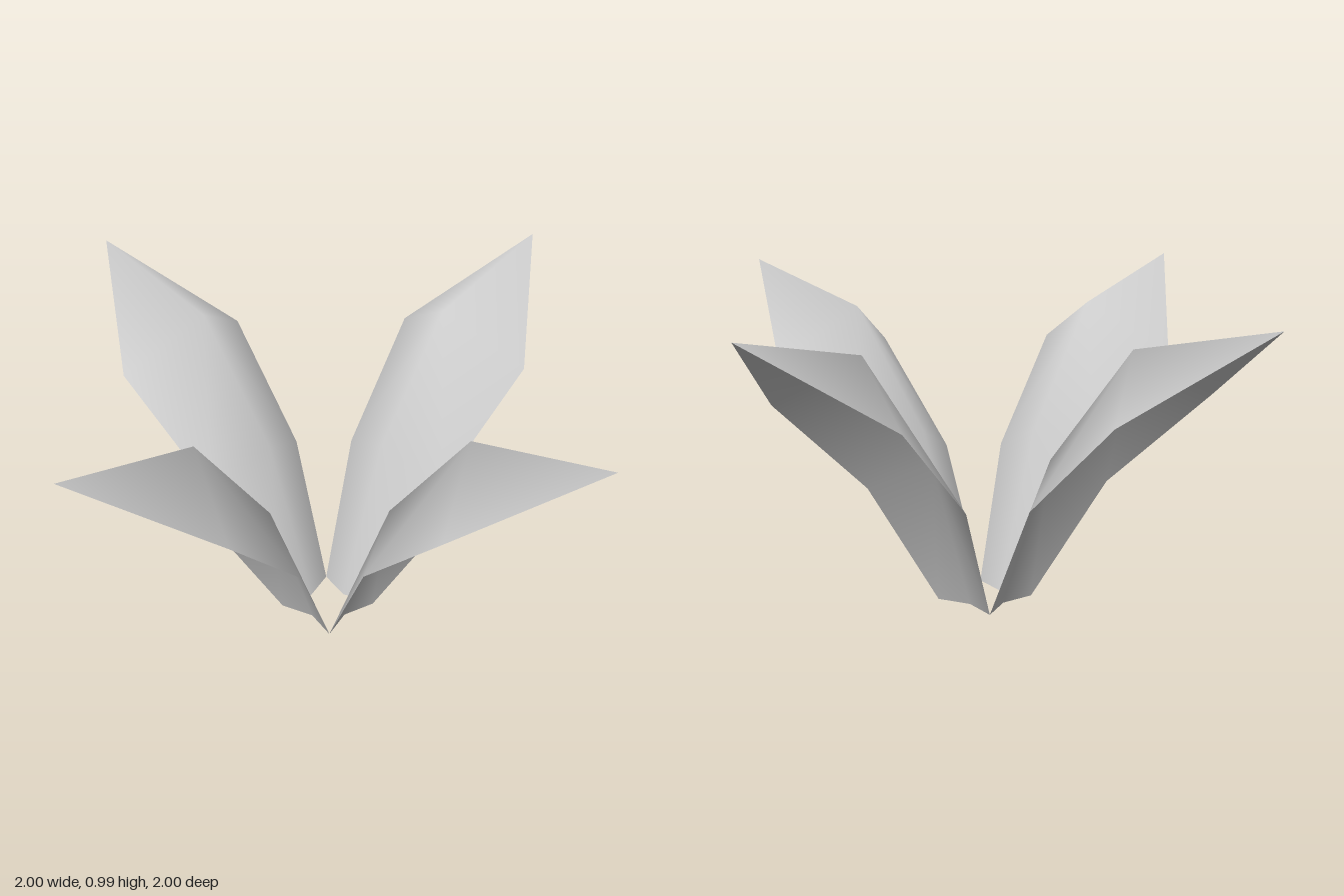
import * as THREE from 'three';

// Cross-sections from base to shoulder: half width, rim [y, z], raised midrib [y, z]
const SECTIONS = [
  { w: 0.105, rim: [0, 0.105], rib: [0, 0.075] },
  { w: 0.195, rim: [0.405, 0.325], rib: [0.505, 0.253] },
  { w: 0.25, rim: [0.72, 0.65], rib: [0.88, 0.537] },
];
const TIP = [0, 0.99, 1];

// One folded leaf leaning towards +z, with its midrib raised on the inner side
function leafGeometry() {
  const points = [];
  const faces = [];
  for (const { w, rim, rib } of SECTIONS) {
    points.push(-w, ...rim, 0, ...rib, w, ...rim);
  }
  points.push(...TIP);

  const last = SECTIONS.length - 1;
  const tip = SECTIONS.length * 3;
  for (let i = 0; i <= last; i++) {
    for (let j = 0; j < 2; j++) {
      const a = i * 3 + j, b = a + 1, c = a + 3, d = a + 4;
      if (i === last) faces.push(a, tip, b);
      else if (j === 0) faces.push(a, d, b, a, c, d);
      else faces.push(a, c, b, b, c, d); // mirrored diagonal
    }
  }

  const geometry = new THREE.BufferGeometry();
  geometry.setAttribute('position', new THREE.Float32BufferAttribute(points, 3));
  geometry.setIndex(faces);
  geometry.computeVertexNormals();
  return geometry;
}

export function createModel() {
  const model = new THREE.Group();
  model.name = 'plant';
  const material = new THREE.MeshStandardMaterial({ color: 0xcccccc, side: THREE.DoubleSide });
  const geometry = leafGeometry();

  // Four leaves around the vertical axis
  ['frontLeaf', 'leftLeaf', 'backLeaf', 'rightLeaf'].forEach((name, i) => {
    const leaf = new THREE.Mesh(geometry, material);
    leaf.name = name;
    leaf.rotation.y = (i * Math.PI) / 2;
    model.add(leaf);
  });
  return model;
}
